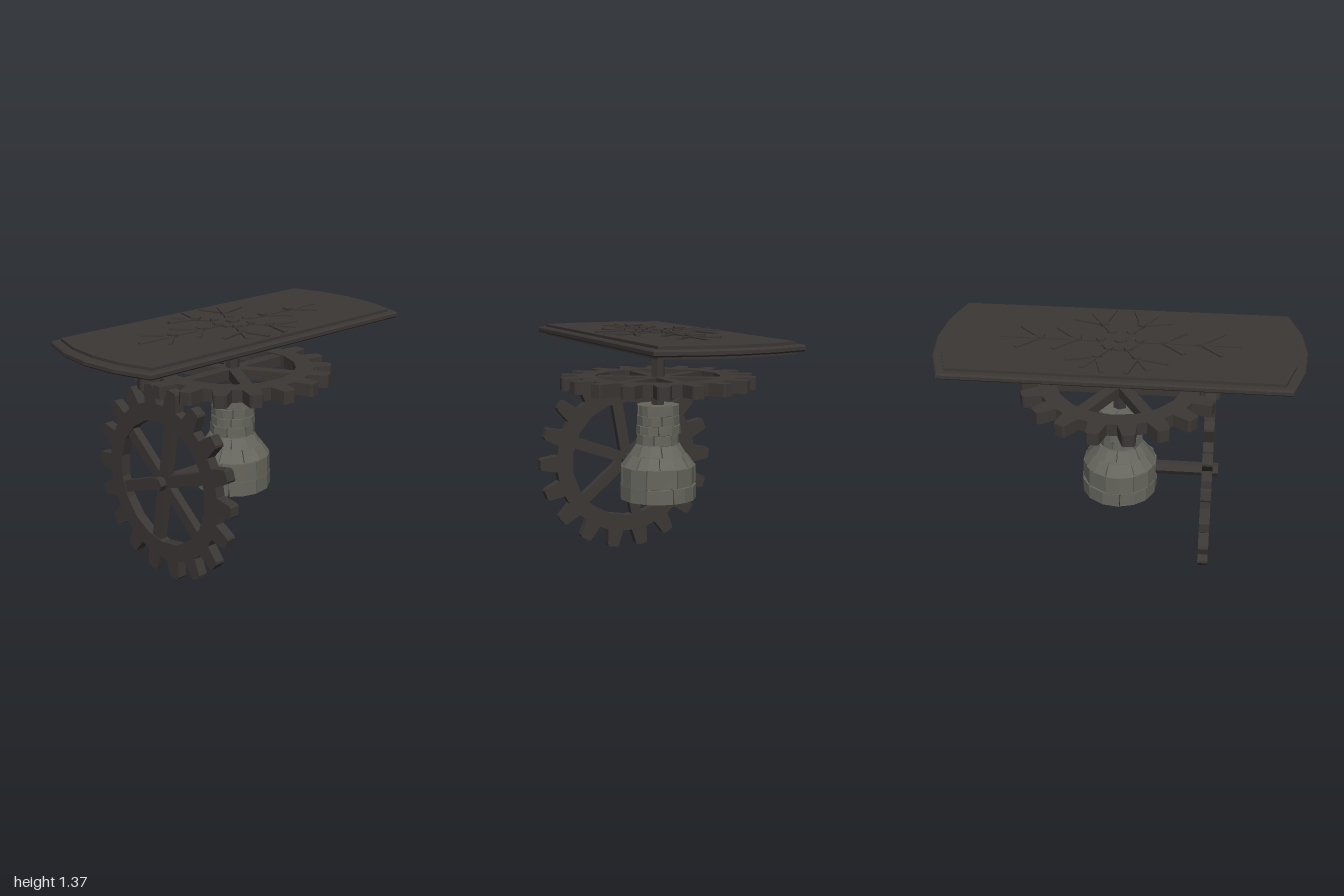
import * as THREE from 'three';

const iron = new THREE.MeshStandardMaterial({ color: 0x3b3735, flatShading: true });
const stone = new THREE.MeshStandardMaterial({ color: 0x66665e, flatShading: true });
const mortar = new THREE.MeshStandardMaterial({ color: 0x45453f, flatShading: true });

function add(parent, name, geometry, material = iron) {
  const mesh = new THREE.Mesh(geometry, material);
  mesh.name = name;
  parent.add(mesh);
  return mesh;
}

const polar = (r, a) => new THREE.Vector2(r * Math.cos(a), r * Math.sin(a));

// Hexagonal rod along y with corners on the x axis
const hexRod = (r, h) => new THREE.CylinderGeometry(r, r, h, 6).rotateY(Math.PI / 6);

// Spoked gear lying in the xy plane, centred on the origin
function makeGear(name) {
  const gear = new THREE.Group();
  gear.name = name;
  const teeth = 18, depth = 0.056;
  const outline = [];
  for (let i = 0; i < teeth; i++) {
    const a = (i / teeth) * Math.PI * 2;
    const tooth = [[0.445, -0.05], [0.54, -0.036], [0.55, -0.026], [0.55, 0.026], [0.54, 0.036], [0.445, 0.05]];
    for (const [r, w] of tooth) {
      outline.push(new THREE.Vector2(r, w).rotateAround(new THREE.Vector2(), a));
    }
  }
  const shape = new THREE.Shape(outline);
  const hole = [];
  for (let i = 0; i < teeth; i++) hole.push(polar(0.352, -((i + 0.5) / teeth) * Math.PI * 2));
  shape.holes.push(new THREE.Path(hole));
  const ring = new THREE.ExtrudeGeometry(shape, { depth, bevelEnabled: false });
  add(gear, 'toothedRing', ring.translate(0, 0, -depth / 2));
  for (let i = 0; i < 3; i++) {
    const spoke = add(gear, 'spokePair', new THREE.BoxGeometry(0.74, 0.066, 0.046));
    spoke.rotation.z = THREE.MathUtils.degToRad(20 + i * 60);
  }
  return gear;
}

// Slab with gently curved ends, lying flat and centred on y = 0
function makeSlab(halfWidth, corner, end, height, bevel) {
  const w = halfWidth - bevel, c = corner - bevel, e = end - bevel;
  const mid = c + (e - c) * 0.76;
  const half = [[w, c], [w / 2, mid], [0, e], [-w / 2, mid], [-w, c]];
  const pts = [...half, ...half.map(([x, z]) => [-x, -z])].map(([x, z]) => new THREE.Vector2(x, z));
  const depth = height - bevel * 2;
  return new THREE.ExtrudeGeometry(new THREE.Shape(pts), {
    depth, bevelEnabled: bevel > 0, bevelSize: bevel, bevelThickness: bevel, bevelSegments: 1,
  }).translate(0, 0, -depth / 2).rotateX(-Math.PI / 2);
}

// Snowflake relief standing out on both faces of the plate
function makeSnowflake() {
  const flake = new THREE.Group();
  flake.name = 'snowflakeRelief';
  const bar = (parent, name, length, height) =>
    add(parent, name, new THREE.BoxGeometry(length, height, 0.026).translate(length / 2, 0, 0));
  for (let i = 0; i < 6; i++) {
    const arm = new THREE.Group();
    arm.name = 'snowflakeArm';
    arm.rotation.y = Math.PI / 6 + (i * Math.PI) / 3;
    const long = i % 3 === 1;
    bar(arm, 'armBar', long ? 0.65 : 0.35, 0.076);
    for (const r of long ? [0.23, 0.43] : [0.21]) {
      add(arm, 'armNode', new THREE.BoxGeometry(0.042, 0.096, 0.042)).position.x = r;
      for (const side of [-1, 1]) {
        const branch = bar(arm, 'branch', 0.17, 0.082);
        branch.position.x = r;
        branch.rotation.y = side * Math.PI / 4;
      }
    }
    add(arm, 'innerStud', hexRod(0.026, 0.096)).position.x = 0.105;
    flake.add(arm);
  }
  add(flake, 'centreRing', hexRod(0.115, 0.08));
  add(flake, 'centreStud', hexRod(0.04, 0.1));
  return flake;
}

// Masonry post: courses of slightly uneven curved blocks over a mortar core
function makePost() {
  const post = new THREE.Group();
  post.name = 'stonePost';
  let seed = 7;
  const rand = () => (seed = (seed * 16807) % 2147483647) / 2147483647;
  // bottom y, top y, outer radius at bottom and top, inner radius, block count
  const courses = [
    [0.41, 0.495, 0.213, 0.213, 0.09, 8], [0.495, 0.602, 0.213, 0.211, 0.09, 7],
    [0.602, 0.665, 0.208, 0.163, 0.08, 8], [0.665, 0.725, 0.163, 0.126, 0.07, 7],
    [0.725, 0.785, 0.124, 0.122, 0.05, 6], [0.785, 0.835, 0.124, 0.122, 0.05, 7],
    [0.835, 0.89, 0.122, 0.122, 0.04, 6], [0.89, 0.947, 0.122, 0.121, 0.02, 6],
  ];
  courses.forEach(([y0, y1, r0, r1, inner, count], row) => {
    const start = rand() * 2;
    const cuts = Array.from({ length: count }, (_, i) => start + ((i + (rand() - 0.5) * 0.4) / count) * Math.PI * 2);
    cuts.push(cuts[0] + Math.PI * 2);
    for (let i = 0; i < count; i++) {
      const block = new THREE.BoxGeometry(1, 1, 1, 2, 1, 1);
      const p = block.attributes.position;
      const bulge = (rand() - 0.5) * 0.012, lean = (rand() - 0.5) * 0.04, drop = rand() * 0.006;
      for (let k = 0; k < p.count; k++) {
        const u = p.getX(k) + 0.5, v = p.getY(k) + 0.5, outer = p.getZ(k) > 0;
        const r = outer ? r0 + (r1 - r0) * v + bulge : inner;
        const gap = 0.003 / r0;
        const a = cuts[i] + gap + (cuts[i + 1] - cuts[i] - gap * 2) * u + lean * (v - 0.5);
        const top = row === courses.length - 1 ? y1 : y1 - drop;
        p.setXYZ(k, Math.sin(a) * r, y0 + (top - y0) * v, Math.cos(a) * r);
      }
      block.computeVertexNormals();
      add(post, 'stoneBlock', block, stone);
    }
  });
  // Core with a hollow underside
  const profile = [[0, 0.6], [0.1, 0.6], [0.1, 0.42], [0.19, 0.42], [0.19, 0.59], [0.107, 0.72], [0.107, 0.935], [0, 0.935]];
  add(post, 'mortarCore', new THREE.LatheGeometry(profile.map(([x, y]) => new THREE.Vector2(x, y)), 12), mortar);
  return post;
}

export function createModel() {
  const model = new THREE.Group();
  model.name = 'gearTable';

  // Table plate: wide rim with a thicker inset panel
  const plate = new THREE.Group();
  plate.name = 'tablePlate';
  plate.position.y = 1.322;
  add(plate, 'plateRim', makeSlab(0.413, 0.915, 1, 0.034, 0.008));
  add(plate, 'platePanel', makeSlab(0.374, 0.875, 0.95, 0.064, 0));
  plate.add(makeSnowflake());
  model.add(plate);

  // Upright shaft and horizontal gear
  add(model, 'uprightShaft', hexRod(0.039, 0.38)).position.y = 1.11;
  const flatGear = makeGear('horizontalGear');
  flatGear.rotation.set(-Math.PI / 2, 0, Math.PI / 18);
  flatGear.scale.z = 1.25;
  flatGear.position.y = 1.075;
  model.add(flatGear);

  // Vertical gear and its axle
  const frontGear = makeGear('verticalGear');
  frontGear.position.set(0, 0.552, 0.5);
  model.add(frontGear);
  const axle = add(model, 'axle', hexRod(0.039, 0.42).rotateX(Math.PI / 2));
  axle.position.set(0, 0.552, 0.352);

  model.add(makePost());
  return model;
}
